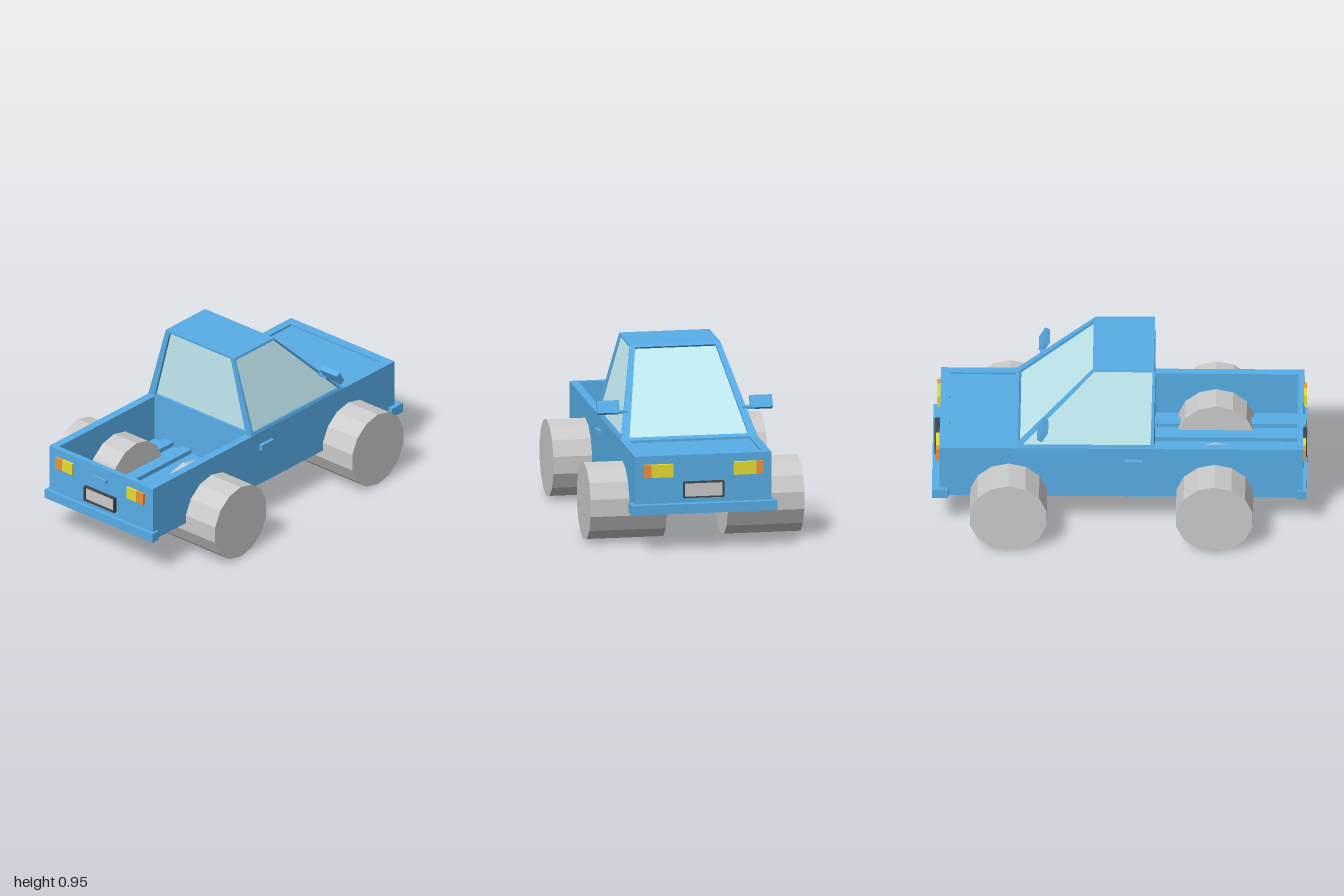
import * as THREE from 'three';

const material = (color) => new THREE.MeshStandardMaterial({ color, flatShading: true });

export function createModel() {
  const truck = new THREE.Group();
  const blue = material(0x58aee8);
  const glass = material(0xc2ebf2);
  const yellow = material(0xe8de31);
  const orange = material(0xf09338);
  const dark = material(0x444444);
  const grey = material(0xcccccc);

  const add = (name, geometry, mat, parent = truck) => {
    const mesh = new THREE.Mesh(geometry, mat);
    mesh.name = name;
    parent.add(mesh);
    return mesh;
  };
  // Box given by its minimum and maximum on each axis
  const box = (name, mat, [x0, x1], [y0, y1], [z0, z1]) => {
    const mesh = add(name, new THREE.BoxGeometry(x1 - x0, y1 - y0, z1 - z0), mat);
    mesh.position.set((x0 + x1) / 2, (y0 + y1) / 2, (z0 + z1) / 2);
    return mesh;
  };
  const rect = (Type, x0, x1, y0, y1) => new Type([[x0, y0], [x1, y0], [x1, y1], [x0, y1]]
    .map(([x, y]) => new THREE.Vector2(x, y)));
  const quads = (list) => {
    const points = list.flatMap(([a, b, c, d]) => [a, b, c, a, c, d]);
    const geometry = new THREE.BufferGeometry().setFromPoints(points);
    geometry.computeVertexNormals();
    return geometry;
  };

  // Body shell with openings for the cargo bed and the sunken bonnet
  const shell = rect(THREE.Shape, -0.98, 0.96, -0.37, 0.37);
  shell.holes.push(rect(THREE.Path, -0.95, -0.185, -0.325, 0.325));
  shell.holes.push(rect(THREE.Path, 0.56, 0.91, -0.325, 0.325));
  const shellGeometry = new THREE.ExtrudeGeometry(shell, { depth: 0.31, bevelEnabled: false });
  shellGeometry.rotateX(-Math.PI / 2).translate(0, 0.21, 0);
  add('body', shellGeometry, blue);
  box('bonnet', blue, [0.56, 0.91], [0.21, 0.508], [-0.325, 0.325]);
  box('bedFloor', blue, [-0.95, -0.185], [0.21, 0.265], [-0.325, 0.325]);
  for (const z of [-0.222, -0.095, 0.095, 0.222]) {
    box('bedRib', blue, [-0.95, -0.185], [0.26, 0.29], [z - 0.032, z + 0.032]);
  }

  // Bumpers
  box('frontBumper', blue, [0.91, 1], [0.208, 0.26], [-0.395, 0.395]);
  box('rearBumper', blue, [-1, -0.95], [0.208, 0.26], [-0.385, 0.385]);

  // Cabin panel: a flat frame around a recessed pane; corners run anticlockwise
  const windowPanel = (name, corners, u, v0, v1) => {
    const [a, b, c, d] = corners;
    const at = (s, t) => a.clone().lerp(b, s).lerp(d.clone().lerp(c, s), t);
    const inner = [at(u, v0), at(1 - u, v0), at(1 - u, v1), at(u, v1)];
    const inward = d.clone().sub(a).cross(b.clone().sub(a)).normalize().multiplyScalar(0.014);
    const deep = inner.map((p) => p.clone().add(inward));
    const frame = [];
    for (let i = 0; i < 4; i++) {
      const j = (i + 1) % 4;
      frame.push([corners[i], corners[j], inner[j], inner[i]]);
      frame.push([inner[i], inner[j], deep[j], deep[i]]);
    }
    add(name + 'Frame', quads(frame), blue);
    add(name + 'Glass', quads([deep]), glass);
  };

  // Cabin corners: front or rear, low or high, on either side
  const P = (x, y, z) => new THREE.Vector3(x, y, z);
  const low = (x, s) => P(x, 0.52, 0.37 * s);
  const high = (x, s) => P(x, 0.95, 0.245 * s);
  const rear = -0.185, base = 0.553, brow = 0.13;
  windowPanel('leftWindow', [low(rear, 1), low(base, 1), high(brow, 1), high(rear, 1)], 0.025, 0.04, 0.97);
  windowPanel('rightWindow', [low(base, -1), low(rear, -1), high(rear, -1), high(brow, -1)], 0.025, 0.04, 0.97);
  windowPanel('windscreen', [low(base, 1), low(base, -1), high(brow, -1), high(brow, 1)], 0.06, 0.03, 0.97);
  windowPanel('rearWindow', [low(rear, -1), low(rear, 1), high(rear, 1), high(rear, -1)], 0.06, 0.03, 0.97);
  add('roof', quads([[high(rear, 1), high(brow, 1), high(brow, -1), high(rear, -1)]]), blue);

  // Wheels, door handles, mirrors
  const wheelGeometry = new THREE.CylinderGeometry(0.21, 0.21, 0.415, 14).rotateX(Math.PI / 2);
  for (const side of [-1, 1]) {
    const span = (z0, z1) => [z0 * side, z1 * side].sort((p, q) => p - q);
    for (const x of [-0.51, 0.59]) {
      add('wheel', wheelGeometry, grey).position.set(x, 0.21, 0.3725 * side);
    }
    box('doorHandle', blue, [-0.125, -0.03], [0.415, 0.45], span(0.365, 0.39));
    box('mirrorArm', blue, [0.4, 0.43], [0.64, 0.655], span(0.31, 0.38));
    const mirror = add('mirror', new THREE.BoxGeometry(0.03, 0.07, 0.12), blue);
    mirror.position.set(0.408, 0.673, 0.415 * side);
    mirror.rotation.z = 0.5;

    // Lamps, front and rear
    box('headlamp', yellow, [0.95, 0.98], [0.405, 0.475], span(0.165, 0.285));
    box('frontIndicator', orange, [0.95, 0.98], [0.405, 0.475], span(0.285, 0.325));
    box('tailLamp', yellow, [-0.995, -0.97], [0.41, 0.475], span(0.195, 0.265));
    box('rearIndicator', orange, [-0.995, -0.97], [0.41, 0.475], span(0.265, 0.315));
  }
  box('tailgateHandle', blue, [-0.995, -0.97], [0.44, 0.46], [-0.045, 0.045]);

  // Blank plates in dark surrounds
  const surround = rect(THREE.Shape, -0.11, 0.11, -0.043, 0.043);
  surround.holes.push(rect(THREE.Path, -0.103, 0.103, -0.037, 0.037));
  const surroundGeometry = new THREE.ExtrudeGeometry(surround, { depth: 0.03, bevelEnabled: false });
  surroundGeometry.rotateY(Math.PI / 2);
  for (const [name, x, turn] of [['frontPlate', 0.96, 0], ['rearPlate', -0.968, Math.PI]]) {
    const plate = new THREE.Group();
    plate.name = name;
    plate.position.set(x, 0.333, 0);
    plate.rotation.y = turn;
    add(name + 'Surround', surroundGeometry, dark, plate);
    add(name + 'Face', new THREE.BoxGeometry(0.03, 0.075, 0.207), grey, plate).position.x = 0.003;
    truck.add(plate);
  }
  return truck;
}
